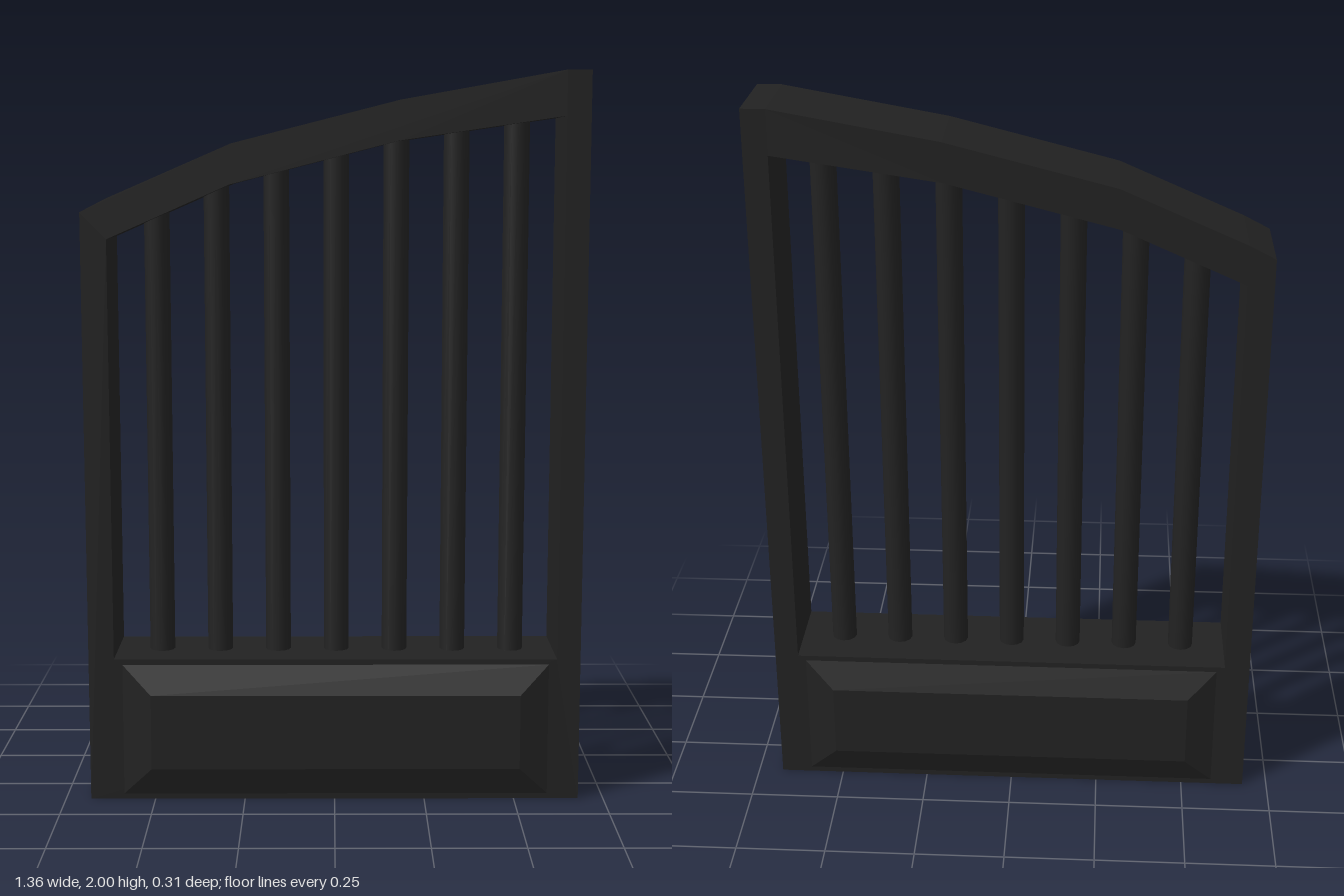
import * as THREE from 'three';

const DEPTH = 0.25;
const material = new THREE.MeshStandardMaterial({ color: 0x222222 });

// Underside of the arched top rail, left to right
const archInner = [[-0.61, 1.555], [-0.28, 1.70], [0.17, 1.815], [0.615, 1.88]];

function archHeight(x) {
  for (let i = 1; i < archInner.length; i++) {
    const [x0, y0] = archInner[i - 1], [x1, y1] = archInner[i];
    if (x <= x1) return y0 + (y1 - y0) * (x - x0) / (x1 - x0);
  }
  return archInner[archInner.length - 1][1];
}

function toPoints(list) {
  return list.map(([x, y]) => new THREE.Vector2(x, y));
}

function addMesh(parent, name, geometry) {
  const mesh = new THREE.Mesh(geometry, material);
  mesh.name = name;
  parent.add(mesh);
  return mesh;
}

// Raised panel whose outer face is inset by a bevel
function bevelledPanel(width, height, thickness, inset) {
  const geo = new THREE.BoxGeometry(width, height, thickness);
  const pos = geo.attributes.position;
  for (let i = 0; i < pos.count; i++) {
    if (pos.getZ(i) < 0) continue;
    pos.setX(i, pos.getX(i) - Math.sign(pos.getX(i)) * inset);
    pos.setY(i, pos.getY(i) - Math.sign(pos.getY(i)) * inset);
  }
  geo.computeVertexNormals();
  return geo;
}

export function createModel() {
  const gate = new THREE.Group();
  gate.name = 'gate';

  // Frame: posts, arched top rail and solid base around one opening
  const outline = new THREE.Shape(toPoints([
    [-0.68, 0], [0.68, 0], [0.68, 2], [0.615, 2],
    [0.175, 1.922], [-0.275, 1.808], [-0.61, 1.663], [-0.68, 1.627],
  ]));
  outline.holes.push(new THREE.Path(toPoints([[-0.61, 0.4], ...archInner, [0.615, 0.4]])));
  const frameGeo = new THREE.ExtrudeGeometry(outline, { depth: DEPTH, bevelEnabled: false });
  frameGeo.translate(0, 0, -DEPTH / 2);
  addMesh(gate, 'frame', frameGeo);

  // Raised panels on both faces of the base
  for (const side of [1, -1]) {
    const panel = addMesh(gate, side > 0 ? 'frontPanel' : 'backPanel',
      bevelledPanel(1.18, 0.37, 0.03, 0.08));
    panel.position.set(0.003, 0.2, side * (DEPTH / 2 + 0.015));
    if (side < 0) panel.rotation.y = Math.PI;
  }

  // Vertical bars, set slightly into the rail and base
  const bars = new THREE.Group();
  bars.name = 'bars';
  gate.add(bars);
  for (let i = 0; i < 7; i++) {
    const x = 0.005 + (i - 3) * 0.1635;
    const bottom = 0.38, top = archHeight(x) + 0.03;
    const bar = addMesh(bars, 'bar' + (i + 1),
      new THREE.CylinderGeometry(0.035, 0.035, top - bottom, 12));
    bar.position.set(x, (top + bottom) / 2, 0);
  }

  return gate;
}
